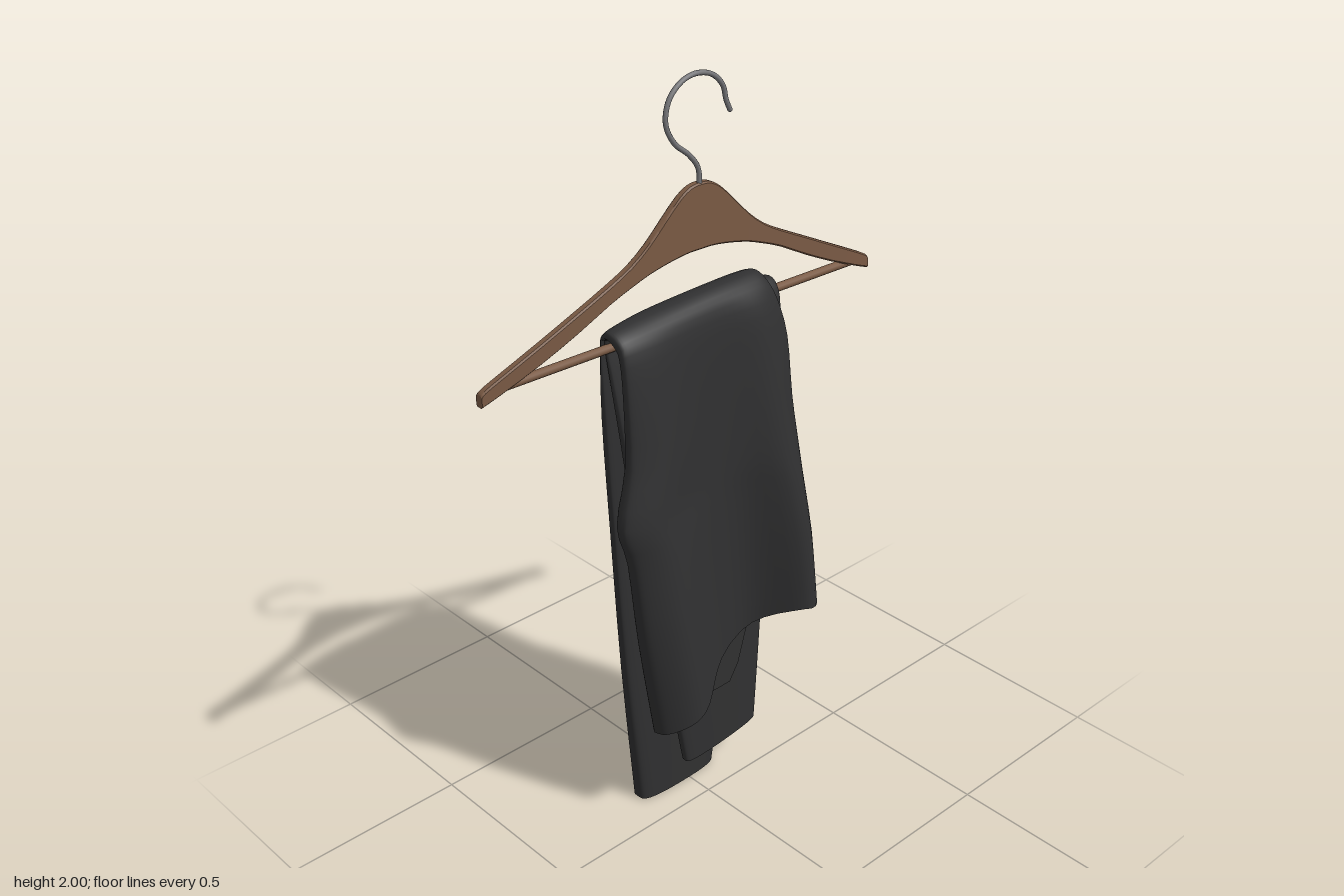
import * as THREE from 'three';
import { toCreasedNormals } from 'three/addons/utils/BufferGeometryUtils.js';

const wood = new THREE.MeshStandardMaterial({ color: 0x7a5a44, side: THREE.DoubleSide });
wood.name = 'wood';
const cloth = new THREE.MeshStandardMaterial({ color: 0x303031, side: THREE.DoubleSide });
cloth.name = 'charcoal cloth';
const steel = new THREE.MeshStandardMaterial({ color: 0x77777a });
steel.name = 'steel';

// Skin a list of closed rings of [x, y, z] points
function loft(rings, capped) {
  const n = rings[0].length, pos = rings.flat(2), index = [];
  for (let r = 0; r < rings.length - 1; r++) {
    for (let i = 0; i < n; i++) {
      const a = r * n + i, b = r * n + (i + 1) % n;
      index.push(a, b, a + n, b, b + n, a + n);
    }
  }
  if (capped) {
    const e = (rings.length - 1) * n;
    for (let i = 1; i < n - 1; i++) index.push(0, i + 1, i, e, e + i, e + i + 1);
  }
  const g = new THREE.BufferGeometry();
  g.setAttribute('position', new THREE.Float32BufferAttribute(pos, 3));
  g.setIndex(index);
  g.computeVertexNormals();
  return g;
}

// Catmull-Rom interpolation through rows of numbers
function smoothRows(rows, steps) {
  const out = [], at = i => rows[Math.min(rows.length - 1, Math.max(0, i))];
  for (let i = 0; i < rows.length - 1; i++) {
    for (let s = 0; s < steps; s++) {
      const t = s / steps;
      out.push(rows[i].map((p1, c) => {
        const p0 = at(i - 1)[c], p2 = at(i + 1)[c], p3 = at(i + 2)[c];
        return p1 + 0.5 * t * (p2 - p0 + t * (2 * p0 - 5 * p1 + 4 * p2 - p3 + t * (3 * (p1 - p2) + p3 - p0)));
      }));
    }
  }
  out.push(rows[rows.length - 1]);
  return out;
}

const spow = (v, p) => Math.sign(v) * Math.abs(v) ** p;
const bump = (s, c, w) => Math.exp(-(((s - c) / w) ** 2));

// Flattened fabric tube. Row: x0, x1, outer y, outer z, inner y, inner z, billow, hem weight, back rounding
function fabricTube(rows, hem) {
  const n = 64;
  return loft(smoothRows(rows, 3).map(([x0, x1, oy, oz, iy, iz, billow, k, round]) => {
    const ring = [];
    for (let i = 0; i < n; i++) {
      const t = i / n * Math.PI * 2;
      const s = spow(Math.cos(t), 0.8), f = (spow(Math.sin(t), 0.5) + 1) / 2;
      const x = x0 + (x1 - x0) * (s + 1) / 2;
      const fold = 0.1 * bump(s, -0.72, 0.42) + 0.135 * bump(s, 0.74, 0.31);
      const soften = 0.035 * bump(s, -1, 0.35) - 0.006 * bump(s, 0.7, 0.2);
      ring.push([x, iy + (oy - iy) * f + k * hem(x, f), iz + (oz - iz) * f + f * (billow * fold + round * soften)]);
    }
    return ring;
  }), false);
}

export function createModel() {
  const model = new THREE.Group();
  const add = (name, geometry, material) => {
    const m = new THREE.Mesh(geometry, material);
    m.name = name;
    model.add(m);
    return m;
  };

  // Hanger shoulders: |x|, top y, bottom y, swept along a shallow bend
  const half = [
    [0, 1.742, 1.58], [0.03, 1.738, 1.58], [0.06, 1.72, 1.577], [0.1, 1.682, 1.57],
    [0.15, 1.632, 1.558], [0.2, 1.593, 1.54], [0.26, 1.56, 1.515], [0.35, 1.516, 1.468],
    [0.45, 1.467, 1.42], [0.55, 1.418, 1.377], [0.59, 1.397, 1.361], [0.6, 1.387, 1.357]];
  const stations = [...half.slice(1).reverse().map(([x, t, b]) => [-x, t, b]), ...half];
  const bendZ = x => -0.035 + 0.0375 * x - 0.104 * x * x;
  const shoulders = loft(smoothRows(stations, 2).map(([x, t, b]) => {
    const z = bendZ(x), d = 0.011, c = 0.004;
    return [[t, d - c], [t - c, d], [b + c, d], [b, d - c], [b, c - d], [b + c, -d], [t - c, -d], [t, c - d]]
      .map(([y, dz]) => [x, y, z + dz]);
  }), true);
  add('hangerShoulders', toCreasedNormals(shoulders, 0.6), wood);

  // Trouser bar between the two shoulder tips
  const ends = [-0.56, 0.56].map(x => new THREE.Vector3(x, 1.39, bendZ(x)));
  add('trouserBar', new THREE.TubeGeometry(new THREE.LineCurve3(...ends), 1, 0.011, 12), wood);

  // Wire hook
  const hookPath = new THREE.CatmullRomCurve3([
    [0, 1.72], [-0.003, 1.775], [-0.03, 1.812], [-0.075, 1.85], [-0.1, 1.9], [-0.09, 1.95],
    [-0.055, 1.983], [-0.01, 1.994], [0.04, 1.982], [0.073, 1.95], [0.083, 1.915], [0.095, 1.89],
  ].map(([x, y]) => new THREE.Vector3(x, y, -0.032)));
  add('hook', new THREE.TubeGeometry(hookPath, 64, 0.0062, 10), steel);
  const tip = add('hookTip', new THREE.SphereGeometry(0.0062, 10, 8), steel);
  tip.position.set(0.095, 1.89, -0.032);

  // Trouser waist in front, folded over the bar and running into the outer leg
  const waistHem = (x, f) => {
    const inner = Math.min(0.1, -0.14 + Math.max(0, x - 0.11) * 3.5);
    const outer = Math.min(0.11, 0.52 * x);
    return inner + (outer - inner) * f;
  };
  add('waistAndOuterLeg', fabricTube([
    [-0.21, 0.315, 0.45, 0.022, 0.45, -0.016, 1, 1, 0],
    [-0.255, 0.305, 0.7, 0.022, 0.7, -0.016, 0.87, 0.6, 0],
    [-0.28, 0.285, 0.9, 0.022, 0.9, -0.016, 0.68, 0.3, 0],
    [-0.308, 0.275, 1.0, 0.022, 1.0, -0.016, 0.56, 0.18, 0],
    [-0.275, 0.26, 1.13, 0.022, 1.13, -0.016, 0.4, 0.07, 0],
    [-0.27, 0.25, 1.3, 0.02, 1.3, -0.018, 0.2, 0, 0],
    [-0.27, 0.225, 1.41, 0.012, 1.38, -0.024, 0.08, 0, 0],
    [-0.27, 0.21, 1.455, -0.01, 1.41, -0.035, 0, 0.06, 0],
    [-0.27, 0.205, 1.469, -0.045, 1.425, -0.055, 0, 0.08, 0],
    [-0.265, 0.21, 1.453, -0.085, 1.415, -0.075, 0, 0.06, 0.4],
    [-0.26, 0.222, 1.4, -0.115, 1.385, -0.085, 0, 0, 0.7],
    [-0.25, 0.232, 1.2, -0.153, 1.2, -0.076, 0, 0, 1],
    [-0.235, 0.22, 0.9, -0.153, 0.9, -0.074, 0, 0, 0.9],
    [-0.205, 0.17, 0.45, -0.15, 0.45, -0.073, 0, 0, 0.5],
    [-0.16, 0.1, 0, -0.147, 0.004, -0.073, 0, 0, 0],
  ], waistHem), cloth);

  // Inner leg folded over the bar beneath the outer one
  add('innerLeg', fabricTube([
    [-0.22, 0.235, 0.95, -0.006, 0.95, -0.018, 0, 0, 0],
    [-0.24, 0.25, 1.2, -0.006, 1.2, -0.02, 0, 0, 0],
    [-0.25, 0.255, 1.36, -0.008, 1.36, -0.024, 0, 0, 0],
    [-0.25, 0.258, 1.42, -0.025, 1.4, -0.038, 0, 0, 0],
    [-0.25, 0.258, 1.44, -0.055, 1.412, -0.058, 0, 0, 0],
    [-0.25, 0.258, 1.415, -0.09, 1.4, -0.075, 0, 0, 0],
    [-0.245, 0.255, 1.33, -0.09, 1.33, -0.06, 0, 0, 0],
    [-0.23, 0.255, 1.15, -0.077, 1.15, -0.035, 0, 0, 0],
    [-0.19, 0.25, 0.85, -0.072, 0.85, -0.027, 0, 0, 0],
    [-0.11, 0.23, 0.45, -0.071, 0.45, -0.025, 0, 0, 0],
    [-0.045, 0.21, 0.11, -0.07, 0.11, -0.025, 0, 0.2, 0],
  ], x => 0.5 * (x - 0.05)), cloth);

  return model;
}
